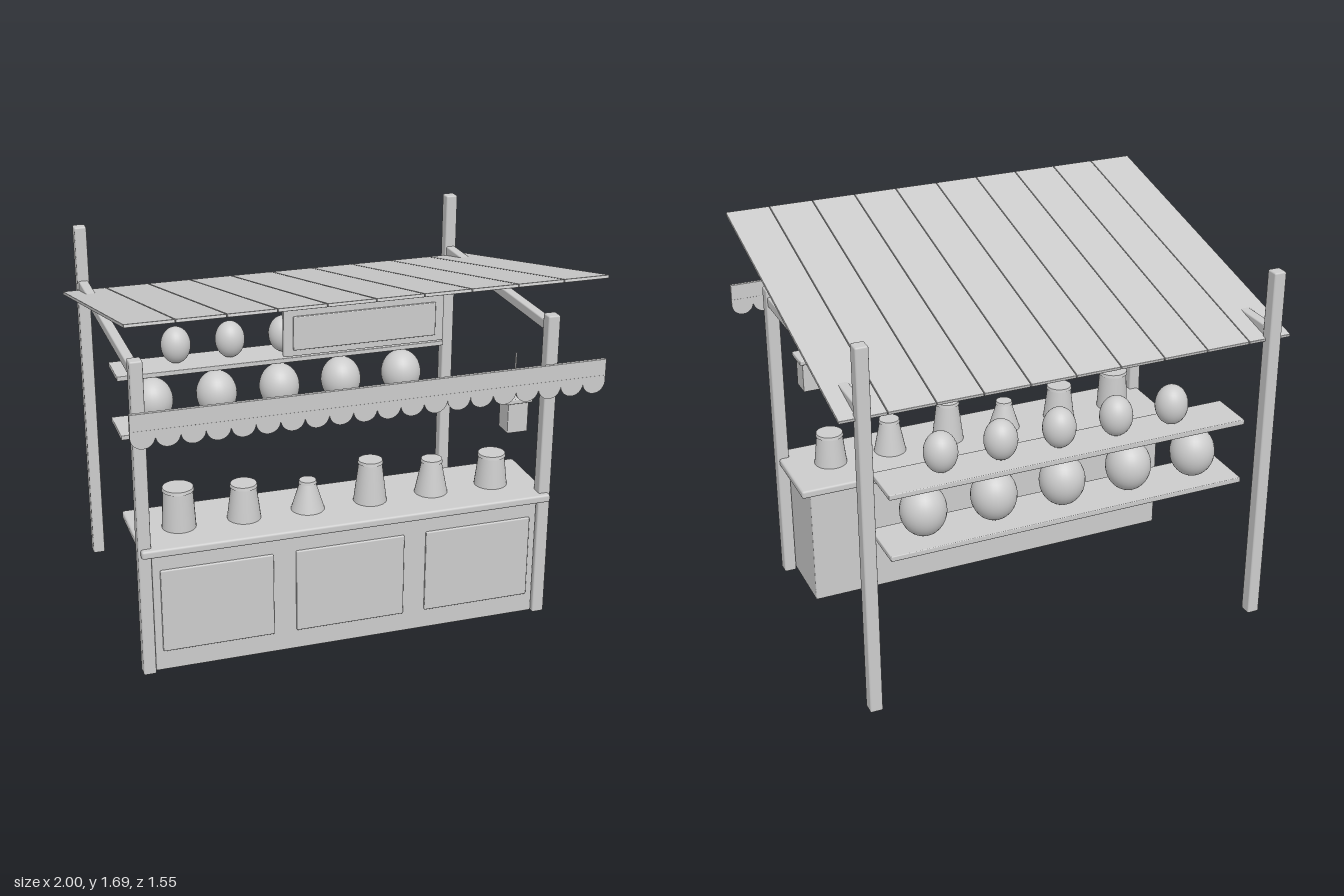
import * as THREE from 'three';
import { RoundedBoxGeometry } from 'three/addons/geometries/RoundedBoxGeometry.js';

const grey = new THREE.MeshStandardMaterial({ color: 0xcccccc });
grey.name = 'plain grey';

export function createModel() {
  const model = new THREE.Group();
  model.name = 'marketStall';

  const add = (name, geometry, x, y, z, parent = model) => {
    const mesh = new THREE.Mesh(geometry, grey);
    mesh.name = name;
    mesh.position.set(x, y, z);
    parent.add(mesh);
    return mesh;
  };
  // Softly bevelled box given by its extents on each axis
  const box = (name, [x0, x1], [y0, y1], [z0, z1], bevel = 0.005, parent = model) =>
    add(name, new RoundedBoxGeometry(x1 - x0, y1 - y0, z1 - z0, 1, bevel),
      (x0 + x1) / 2, (y0 + y1) / 2, (z0 + z1) / 2, parent);

  // Posts and the side beams joining them
  for (const s of [-1, 1]) {
    const side = s > 0 ? 'left' : 'right';
    const span = w => [s * 0.905 - w / 2, s * 0.905 + w / 2];
    box(side + 'FrontPost', span(0.056), [0, 1.433], [0.414, 0.472], 0.007);
    box(side + 'BackPost', span(0.056), [0, 1.653], [-0.772, -0.714], 0.007);
    box(side + 'Beam', span(0.044), [1.355, 1.4], [-0.73, 0.43], 0.006);
  }

  // Counter with raised front panels
  box('counterBody', [-0.875, 0.875], [0.005, 0.568], [0.119, 0.457], 0.006);
  box('counterTop', [-0.923, 0.923], [0.566, 0.603], [0.078, 0.499], 0.01);
  for (const x of [-0.595, 0, 0.595])
    box('counterPanel', [x - 0.247, x + 0.247], [0.1, 0.487], [0.445, 0.468], 0.005);

  // Sloping roof of ten planks
  const roof = new THREE.Group();
  roof.name = 'roof';
  roof.position.set(0, 1.514, 0.005);
  roof.rotation.x = -Math.atan2(0.34, 1.48);
  model.add(roof);
  for (let i = 0; i < 10; i++) {
    const x = -0.9 + i * 0.2;
    box('roofPlank', [x - 0.0985, x + 0.0985], [-0.007, 0.007], [-0.763, 0.763], 0.002, roof);
  }

  // Scalloped valance: a band with a row of round-ended tabs
  box('valanceBand', [-1, 1], [1.266, 1.338], [0.761, 0.777], 0.002);
  const tab = new THREE.Shape();
  tab.moveTo(-0.05, 0.03);
  tab.lineTo(-0.05, 0);
  tab.absarc(0, 0, 0.05, Math.PI, Math.PI * 2, false);
  tab.lineTo(0.05, 0.03);
  const tabGeometry = new THREE.ExtrudeGeometry(tab, { depth: 0.011, bevelEnabled: false, curveSegments: 14 });
  for (let i = 0; i < 20; i++) add('valanceScallop', tabGeometry, -0.95 + i * 0.1, 1.24, 0.7635);

  // Blank sign board
  box('signBoard', [-0.338, 0.338], [1.436, 1.632], [0.588, 0.611], 0.005);
  box('signPlate', [-0.3, 0.3], [1.464, 1.604], [0.605, 0.621], 0.004);

  // Shelves carrying round goods
  const shelves = [
    { top: 0.703, front: -0.494, z: -0.615, rx: 0.098, ry: 0.112, x0: -0.628, step: 0.312 },
    { top: 0.984, front: -0.53, z: -0.633, rx: 0.071, ry: 0.089, x0: -0.503, step: 0.2625 },
  ];
  for (const s of shelves) {
    box('shelf', [-0.807, 0.807], [s.top - 0.024, s.top], [-0.736, s.front], 0.004);
    const ball = new THREE.SphereGeometry(1, 28, 20).scale(s.rx, s.ry, s.rx);
    for (let i = 0; i < 5; i++) add('roundGoods', ball, s.x0 + i * s.step, s.top + s.ry, s.z);
  }

  // Tapered pots with lids along the counter: [top height, upper radius]
  const pots = [[0.788, 0.064], [0.765, 0.055], [0.74, 0.035], [0.797, 0.051], [0.763, 0.044], [0.754, 0.058]];
  pots.forEach(([top, r], i) => {
    const x = -0.719 + i * 0.287, h = top - 0.615;
    add('potBody', new THREE.CylinderGeometry(r, 0.074, h, 28), x, 0.602 + h / 2, 0.3);
    add('potLid', new THREE.CylinderGeometry(r + 0.002, r + 0.005, 0.014, 28), x, top - 0.007, 0.3);
  });

  // Hanging lantern
  box('lanternBody', [0.699, 0.794], [0.924, 1.066], [0.397, 0.493], 0.004);
  box('lanternCap', [0.684, 0.808], [1.062, 1.085], [0.383, 0.505], 0.005);
  add('lanternRod', new THREE.CylinderGeometry(0.004, 0.004, 0.2, 10), 0.746, 1.175, 0.444);

  return model;
}
